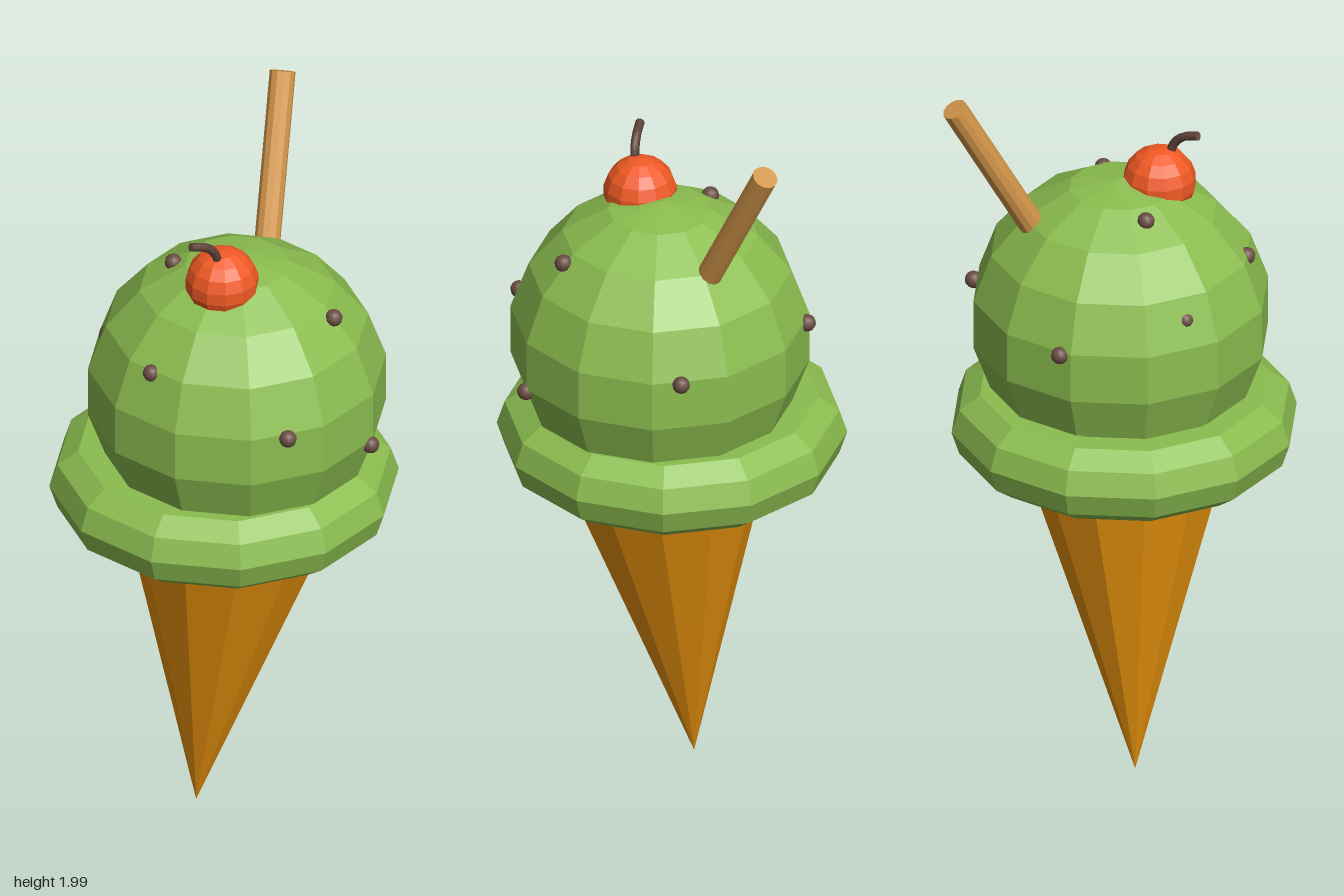
import * as THREE from 'three';

const V = (x, y, z) => new THREE.Vector3(x, y, z);
const UP = V(0, 1, 0);

function paint(color, flatShading = true) {
  return new THREE.MeshStandardMaterial({ color, flatShading });
}

// Tapered rod from point a (radius ra) to point b (radius rb)
function rod(name, a, b, ra, rb, material) {
  const axis = b.clone().sub(a);
  const mesh = new THREE.Mesh(new THREE.CylinderGeometry(rb, ra, axis.length(), 12), material);
  mesh.name = name;
  mesh.position.copy(a).lerp(b, 0.5);
  mesh.quaternion.setFromUnitVectors(UP, axis.normalize());
  return mesh;
}

export function createModel() {
  const model = new THREE.Group();
  model.name = 'iceCreamCone';
  const green = paint(0x8bbd4f);
  const brown = paint(0x6b4d44, false);

  const add = (name, geometry, material, x, y, z) => {
    const mesh = new THREE.Mesh(geometry, material);
    mesh.name = name;
    mesh.position.set(x, y, z);
    model.add(mesh);
    return mesh;
  };

  // Slightly leaning wafer cone
  model.add(rod('waferCone', V(-0.055, 0.005, 0.05), V(0.026, 1.0, -0.005), 0, 0.303, paint(0xe8920c)));

  // Soft rim of ice cream over the cone's mouth
  const rim = new THREE.TorusGeometry(0.348, 0.109, 10, 12).rotateX(-Math.PI / 2);
  add('iceCreamRim', rim, green, 0, 1.005, 0);

  // Scoop
  add('scoop', new THREE.SphereGeometry(0.396, 12, 9), green, 0.03, 1.3, -0.02);

  // Wafer stick leaning back out of the scoop
  model.add(rod('waferStick', V(-0.013, 1.35, -0.117), V(-0.263, 1.983, -0.375), 0.034, 0.034, paint(0xd2964a)));

  // Cherry and its curved stem
  add('cherry', new THREE.SphereGeometry(0.097, 12, 9), paint(0xf05a24), 0.086, 1.675, 0.067);
  const stemCurve = new THREE.CatmullRomCurve3([
    V(0.1, 1.74, 0.09), V(0.102, 1.78, 0.1), V(0.099, 1.808, 0.127), V(0.092, 1.822, 0.172),
  ]);
  add('cherryStem', new THREE.TubeGeometry(stemCurve, 10, 0.012, 8), paint(0x5d4037, false), 0, 0, 0);
  // Close the free end of the stem
  const tip = add('stemTip', new THREE.CircleGeometry(0.012, 8), brown, 0.092, 1.822, 0.172);
  tip.quaternion.setFromUnitVectors(V(0, 0, 1), stemCurve.getTangent(1));

  // Chocolate chips pressed into the scoop
  const chip = new THREE.SphereGeometry(0.023, 12, 8);
  const chips = [
    [-0.045, 1.365, -0.4], [0.275, 1.58, -0.155], [0.37, 1.22, -0.205], [0.403, 1.36, 0.083],
    [-0.355, 1.36, -0.052], [-0.095, 1.652, 0.094], [0.1, 1.488, 0.303], [-0.191, 1.434, 0.236],
  ];
  chips.forEach(([x, y, z], i) => add(`chocolateChip${i + 1}`, chip, brown, x, y, z));

  return model;
}
